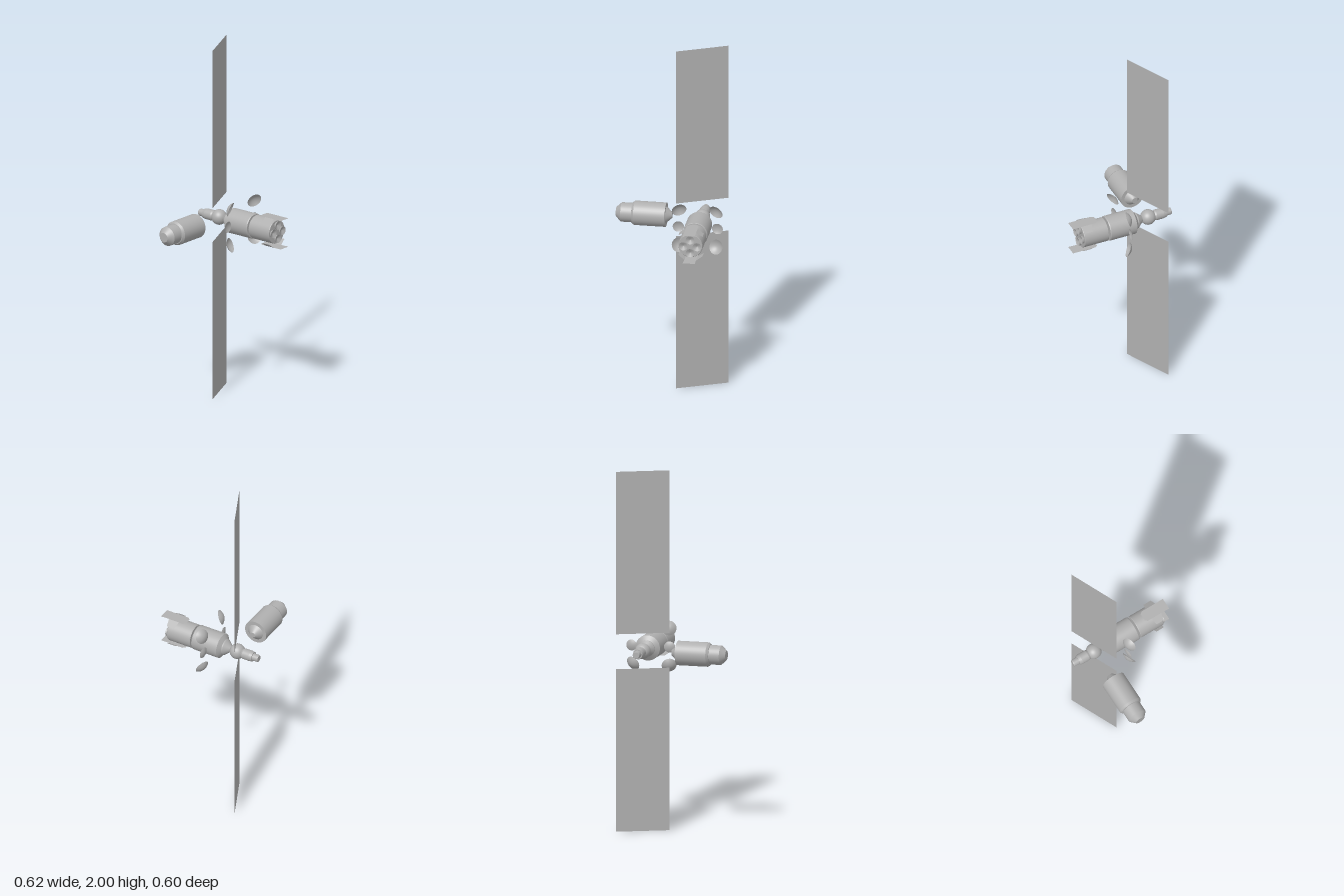
import * as THREE from 'three';
import { mergeGeometries } from 'three/addons/utils/BufferGeometryUtils.js';

const grey = new THREE.MeshStandardMaterial({ color: 0xb0b0b0, side: THREE.DoubleSide });
grey.name = 'station grey';

// Body of revolution around y with a sharp edge at every [radius, position] point
function turned(points, segments = 40) {
  const bands = [];
  for (let i = 0; i < points.length - 1; i++) {
    bands.push(new THREE.LatheGeometry(
      [points[i], points[i + 1]].map(([r, p]) => new THREE.Vector2(r, p)), segments));
  }
  return mergeGeometries(bands);
}

function add(parent, name, geometry) {
  const mesh = new THREE.Mesh(geometry, grey);
  mesh.name = name;
  parent.add(mesh);
  return mesh;
}

// Open bowl facing +z, rim centre at the origin
function bowl(radius, depth) {
  const points = [];
  for (let i = 0; i <= 8; i++) {
    const t = i / 8;
    points.push(new THREE.Vector2(radius * t, depth * (t * t - 1)));
  }
  return new THREE.LatheGeometry(points, 32).rotateX(Math.PI / 2);
}

// Flat polygon in x and z, folded down beyond the middle strip
function foldedPlate(outline) {
  const shape = new THREE.Shape(outline.map(([x, z]) => new THREE.Vector2(x, z)));
  const geometry = new THREE.ShapeGeometry(shape).rotateX(Math.PI / 2);
  const pos = geometry.attributes.position;
  for (let i = 0; i < pos.count; i++) {
    const over = Math.max(0, Math.abs(pos.getX(i)) - 0.032);
    pos.setY(i, 0.082 - over * 0.7);
  }
  geometry.computeVertexNormals();
  return geometry;
}

export function createModel() {
  const model = new THREE.Group();
  model.name = 'spaceStation';

  // Main stack, axis along z
  const stack = new THREE.Group();
  stack.name = 'mainStack';
  stack.position.set(0.166, 1, 0);
  model.add(stack);
  const alongZ = (name, points, segments) =>
    add(stack, name, turned(points, segments).rotateX(Math.PI / 2));

  alongZ('tailModule', [
    [0, -0.301], [0.018, -0.301], [0.02, -0.296], [0.021, -0.267], [0.027, -0.267],
    [0.03, -0.25], [0.03, -0.208], [0.026, -0.199], [0, -0.199]]);
  add(stack, 'dockingBall', new THREE.SphereGeometry(0.043, 40, 24)).position.z = -0.165;
  alongZ('coreModule', [
    [0, -0.128], [0.016, -0.128], [0.045, -0.094], [0.045, -0.087], [0.07, -0.07],
    [0.07, 0.084], [0.067, 0.089], [0, 0.089]]);
  alongZ('engineModule', [
    [0, 0.098], [0.065, 0.098], [0.067, 0.101], [0.067, 0.241], [0.065, 0.244], [0, 0.244]]);

  // Four engine nozzles on the front end
  for (let i = 0; i < 4; i++) {
    const a = i * Math.PI / 2;
    const nozzle = alongZ('engineNozzle', [[0.02, 0.244], [0.024, 0.256], [0, 0.245]], 24);
    nozzle.position.set(0.038 * Math.cos(a), 0.038 * Math.sin(a), 0);
  }

  // Folded shield above and below the engine module
  for (const turn of [0, Math.PI]) {
    const shield = new THREE.Group();
    shield.name = 'shield';
    shield.rotation.z = turn;
    stack.add(shield);
    add(shield, 'shieldStrip', foldedPlate([
      [-0.021, 0.15], [0.021, 0.15], [0.032, 0.163], [0.032, 0.25], [0.033, 0.3],
      [-0.033, 0.3], [-0.032, 0.25], [-0.032, 0.163]]));
    for (const s of [-1, 1]) {
      add(shield, 'shieldWing', foldedPlate([
        [s * 0.032, 0.188], [s * 0.067, 0.197], [s * 0.067, 0.243], [s * 0.032, 0.25]]));
    }
  }

  // Dishes around the core: four large on the diagonals, two small at the sides
  const dish = (name, x, y, z, radius, depth, tilt) => {
    const mesh = add(stack, name, bowl(radius, depth));
    mesh.position.set(x, y, z);
    const inward = new THREE.Vector3(-x, -y, 0).setLength(Math.sin(tilt));
    inward.z = Math.cos(tilt);
    mesh.quaternion.setFromUnitVectors(new THREE.Vector3(0, 0, 1), inward);
  };
  for (const s of [-1, 1]) {
    for (const t of [-1, 1]) dish('largeDish', s * 0.102, t * 0.103, 0, 0.041, 0.018, 0.53);
    dish('smallDish', s * 0.108, 0, -0.012, 0.031, 0.008, 0.12);
  }

  // Free-flying module, axis along x
  const visitor = add(model, 'visitingModule', turned([
    [0, -0.309], [0.027, -0.309], [0.0535, -0.28], [0.0535, -0.22], [0.058, -0.219],
    [0.067, -0.207], [0.067, -0.033], [0.046, -0.033], [0.016, 0], [0, 0]]).rotateZ(-Math.PI / 2));
  visitor.position.set(0, 1, -0.163);

  // Two tall solar panels, turned about the vertical
  const width = Math.hypot(0.268, 0.125);
  for (const s of [-1, 1]) {
    const panel = add(model, 'solarPanel', new THREE.PlaneGeometry(width, 0.903));
    panel.position.set(0.166, 1 + s * 0.5485, -0.163);
    panel.rotation.y = Math.atan2(0.125, 0.268);
  }
  return model;
}
